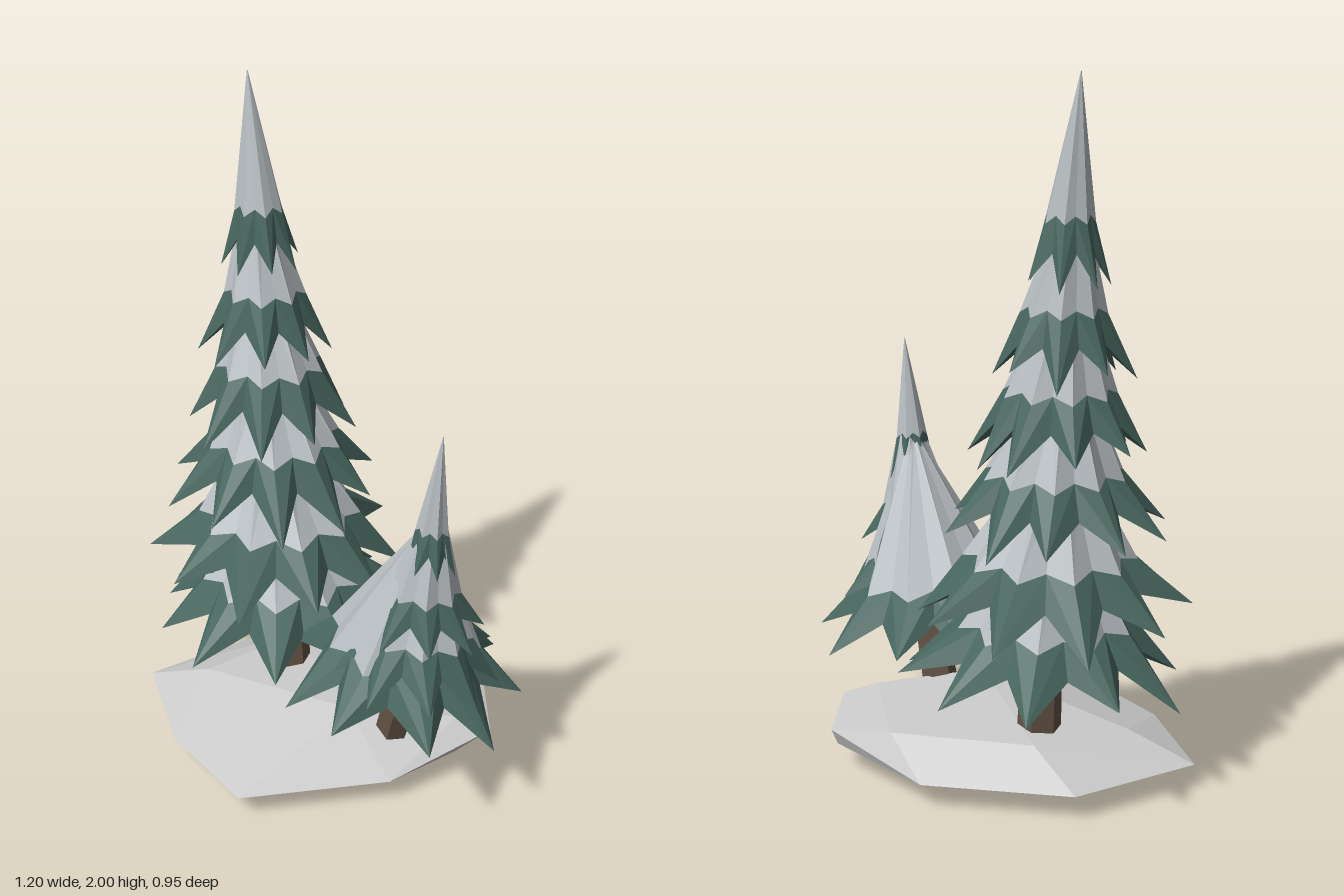
import * as THREE from 'three';
import { ConvexGeometry } from 'three/addons/geometries/ConvexGeometry.js';

const material = (color) => new THREE.MeshStandardMaterial({ color, flatShading: true, side: THREE.DoubleSide });
const GROUND = material(0xcccccc), SNOW = material(0xb9bfc3), NEEDLES = material(0x48665f), BARK = material(0x635244);
const V = (x, y, z) => new THREE.Vector3(x, y, z);

// Small seeded generator, returns -1..1
let seed = 7;
const jitter = () => {
  seed = (seed * 16807) % 2147483647;
  return (seed / 2147483647) * 2 - 1;
};

function addMesh(parent, name, geometry, mat) {
  const mesh = new THREE.Mesh(geometry, mat);
  mesh.name = name;
  parent.add(mesh);
  return mesh;
}

function facetGeometry(points) {
  const geometry = new THREE.BufferGeometry().setFromPoints(points);
  geometry.computeVertexNormals();
  return geometry;
}

// Faceted skin between rings listed from top to bottom; creases run along the even points
function loft(rings) {
  const points = [];
  for (let k = 0; k < rings.length - 1; k++) {
    const u = rings[k], l = rings[k + 1], n = u.length;
    for (let i = 0; i < n; i++) {
      const j = (i + 1) % n;
      if (i % 2) points.push(u[i], u[j], l[j], u[i], l[j], l[i]);
      else points.push(u[i], u[j], l[i], u[j], l[j], l[i]);
    }
  }
  return facetGeometry(points);
}

// Ring that alternates between a ridge (radius, height) and a valley (radius, height)
function starRing(center, n, phase, ridge, valley, lean = 0, wobble = null) {
  return Array.from({ length: n * 2 }, (_, i) => {
    const [r0, y] = i % 2 ? valley : ridge;
    const w = wobble && i % 2 === 0 ? wobble[i / 2] : [0, 0, 0];
    const a = phase + (i * Math.PI) / n + w[0];
    const r = r0 * (1 + w[1]);
    const dx = Math.cos(a) * r;
    return V(center.x + dx, y + w[2] - lean * dx, center.z + Math.sin(a) * r);
  });
}

// One star-shaped layer of branches with snow on its upper part
function addTier(parent, { y, R, n, phase, center, top, topY, topR, drop, lean }) {
  const wobble = Array.from({ length: n }, () => [jitter() * 0.08, jitter() * 0.07, jitter() * 0.035 * (R / 0.3)]);
  const crown = starRing(top, n, phase, [topR, topY], [topR * 0.85, topY]);
  const rim = starRing(center, n, phase, [R * 0.63, y + drop * 0.88], [R * 0.53, y + drop], lean);
  const skirt = starRing(center, n, phase, [R, y], [R * 0.66, y + drop * 0.47], lean, wobble);
  const inner = starRing(center, n, phase, [R * 0.1, y + drop * 0.8], [R * 0.1, y + drop * 0.8], lean);
  addMesh(parent, 'snowCap', loft([crown, rim]), SNOW);
  addMesh(parent, 'needles', loft([rim, skirt, inner]), NEEDLES);
}

// Tapered rod between two points
function addRod(parent, name, a, b, rBottom, rTop, sides) {
  const direction = b.clone().sub(a);
  const rod = addMesh(parent, name, new THREE.CylinderGeometry(rTop, rBottom, direction.length(), sides), BARK);
  rod.position.copy(a).add(b).multiplyScalar(0.5);
  rod.quaternion.setFromUnitVectors(V(0, 1, 0), direction.normalize());
}

function tallTree() {
  const tree = new THREE.Group();
  tree.name = 'tallTree';
  const axis = (y) => V(-0.18, 0, -0.095).lerp(V(-0.3, 0, -0.18), (y - 0.2) / 1.8);
  addRod(tree, 'trunk', V(-0.16, 0.015, -0.085), V(-0.19, 0.6, -0.11), 0.068, 0.052, 6);
  // Tip height, radius, number of tips
  const tiers = [[0.335, 0.395, 10], [0.53, 0.385, 10], [0.77, 0.315, 10], [1.0, 0.25, 9], [1.22, 0.185, 8], [1.46, 0.11, 7]];
  tiers.forEach(([y, R, n], i) => {
    const last = i === tiers.length - 1;
    const topY = last ? 2 : y + 0.38;
    addTier(tree, {
      y, R, n, phase: i * 0.9 + 0.05, center: axis(y), top: axis(topY),
      topY, topR: last ? 0.001 : R * 0.28, drop: 0.18, lean: 0,
    });
  });
  // Bare twig poking out of the branches
  addRod(tree, 'twig', V(-0.34, 0.515, -0.02), V(-0.43, 0.56, 0.13), 0.012, 0.005, 5);
  return tree;
}

function shortTree() {
  const tree = new THREE.Group();
  tree.name = 'shortTree';
  addRod(tree, 'trunk', V(0.2, 0.018, 0.1), V(0.305, 0.5, 0.165), 0.055, 0.046, 6);
  const apex = V(0.375, 0, 0.205);
  // Tip height, radius, tips, centre x and z, top height and radius, needle depth
  const tiers = [
    [0.335, 0.352, 9, 0.26, 0.125, 0.9, 0.02, 0.17],
    [0.44, 0.245, 9, 0.315, 0.17, 0.8, 0.05, 0.14],
    [0.58, 0.165, 8, 0.33, 0.182, 0.95, 0.03, 0.14],
    [0.79, 0.075, 7, 0.352, 0.195, 1.2, 0.001, 0.13],
  ];
  tiers.forEach(([y, R, n, x, z, topY, topR, drop], i) => {
    const top = V(x, 0, z).lerp(apex, (topY - y) / (1.2 - y));
    addTier(tree, { y, R, n, phase: i * 0.8 + 0.42, center: V(x, 0, z), top, topY, topR, drop, lean: 0.1 });
  });
  return tree;
}

// Low faceted shell of snow, open underneath
function mound() {
  const rimY = 0.08;
  const points = [
    [-0.6, rimY, 0.01], [-0.4, rimY, 0.29], [-0.12, rimY, 0.48], [0.27, rimY, 0.27], [0.41, rimY, 0.08],
    [0.4, rimY, -0.24], [0.07, rimY, -0.39], [-0.35, rimY, -0.3],
    [-0.4, 0.15, 0.02], [0.1, 0.21, 0.14], [0.4, 0.165, 0.02], [0.5, 0.125, 0.0],
    [0.41, 0.13, -0.26], [0.2, 0.175, -0.3], [-0.2, 0.17, -0.22],
  ];
  const position = new ConvexGeometry(points.map((p) => V(...p))).attributes.position;
  const shell = [];
  for (let i = 0; i < position.count; i += 3) {
    const face = [0, 1, 2].map((k) => V(0, 0, 0).fromBufferAttribute(position, i + k));
    if (face.some((p) => p.y > rimY + 0.001)) shell.push(...face);
  }
  return facetGeometry(shell);
}

export function createModel() {
  const model = new THREE.Group();
  model.name = 'snowyTrees';
  addMesh(model, 'snowMound', mound(), GROUND);
  model.add(tallTree(), shortTree());
  return model;
}
